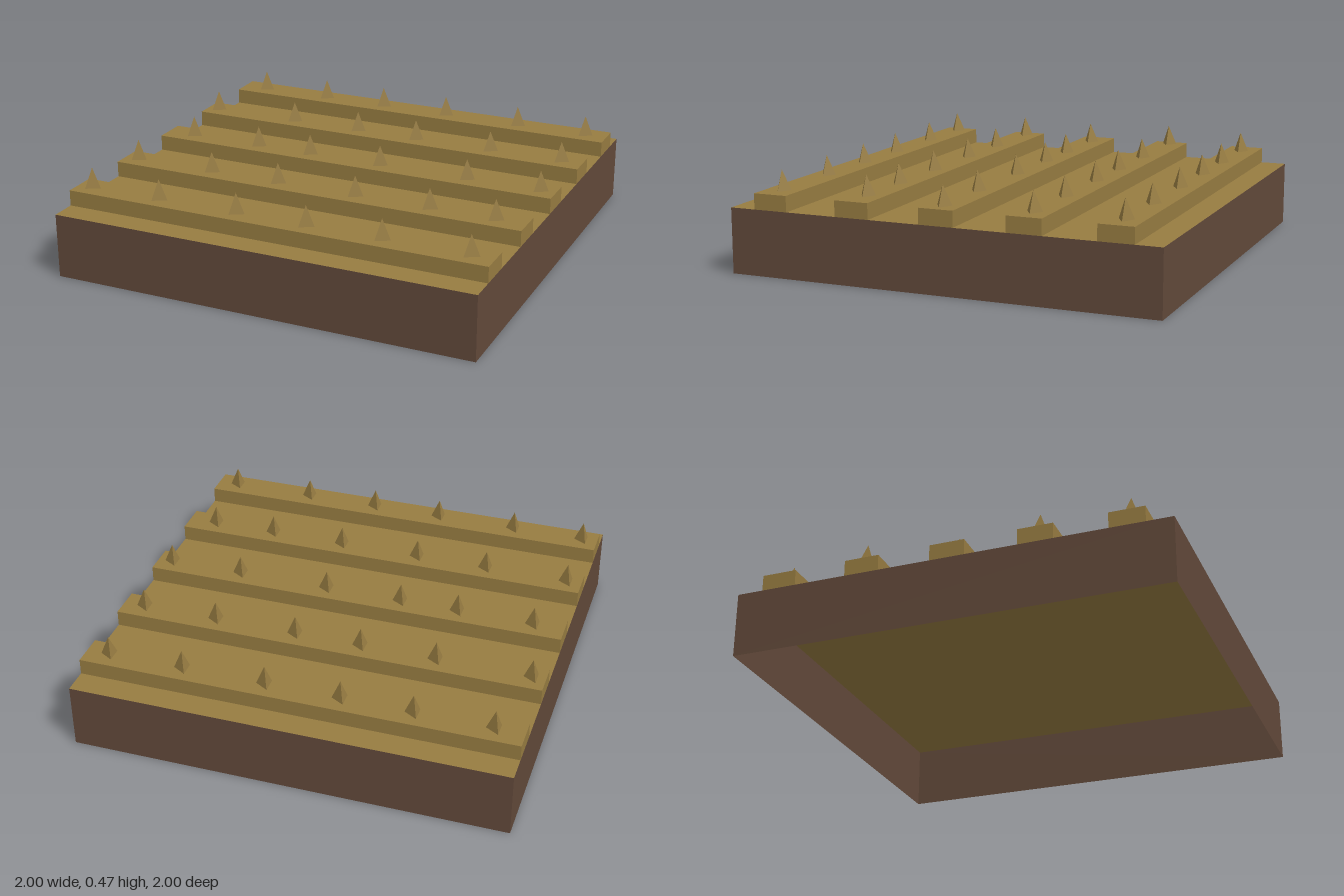
import * as THREE from 'three';

const H = 0.3, RIDGE_H = 0.073, RIDGE_W = 0.16;

// z of each ridge and the x positions of the sprouts along it
const ROWS = [
  [-0.8, [-0.87, -0.515, -0.19, 0.155, 0.54, 0.89]],
  [-0.4, [-0.94, -0.505, -0.155, 0.155, 0.54, 0.895]],
  [0, [-0.857, -0.5, -0.225, 0.138, 0.572, 0.925]],
  [0.4, [-0.93, -0.536, -0.193, 0.192, 0.55, 0.856]],
  [0.8, [-0.927, -0.58, -0.193, 0.144, 0.497, 0.894]],
];

export function createModel() {
  const group = new THREE.Group();
  const earth = new THREE.MeshStandardMaterial({ color: 0x62493a, side: THREE.DoubleSide, flatShading: true });
  earth.name = 'brown earth';
  const straw = new THREE.MeshStandardMaterial({ color: 0x977c41, side: THREE.DoubleSide, flatShading: true });
  straw.name = 'straw soil';

  const add = (parent, name, geometry, material, x, y, z) => {
    const mesh = new THREE.Mesh(geometry, material);
    mesh.name = name;
    mesh.position.set(x, y, z);
    parent.add(mesh);
    return mesh;
  };

  // Four single-sheet walls, open underneath
  for (let i = 0; i < 4; i++) {
    const a = i * Math.PI / 2;
    const wall = add(group, 'sideWall', new THREE.PlaneGeometry(2, H), earth, Math.sin(a), H / 2, Math.cos(a));
    wall.rotation.y = a;
  }

  // Field surface
  add(group, 'fieldSurface', new THREE.PlaneGeometry(2, 2).rotateX(-Math.PI / 2), straw, 0, H, 0);

  // Ridges with three-sided sprouts, one corner towards +x
  const ridgeGeo = new THREE.BoxGeometry(2, RIDGE_H, RIDGE_W);
  const sproutGeo = new THREE.ConeGeometry(0.041, 0.095, 3).rotateY(Math.PI / 2);
  for (const [z, xs] of ROWS) {
    const row = new THREE.Group();
    row.name = 'cropRow';
    add(row, 'ridge', ridgeGeo, straw, 0, H + RIDGE_H / 2, z);
    for (const x of xs) add(row, 'sprout', sproutGeo, straw, x, H + RIDGE_H + 0.0465, z);
    group.add(row);
  }
  return group;
}
